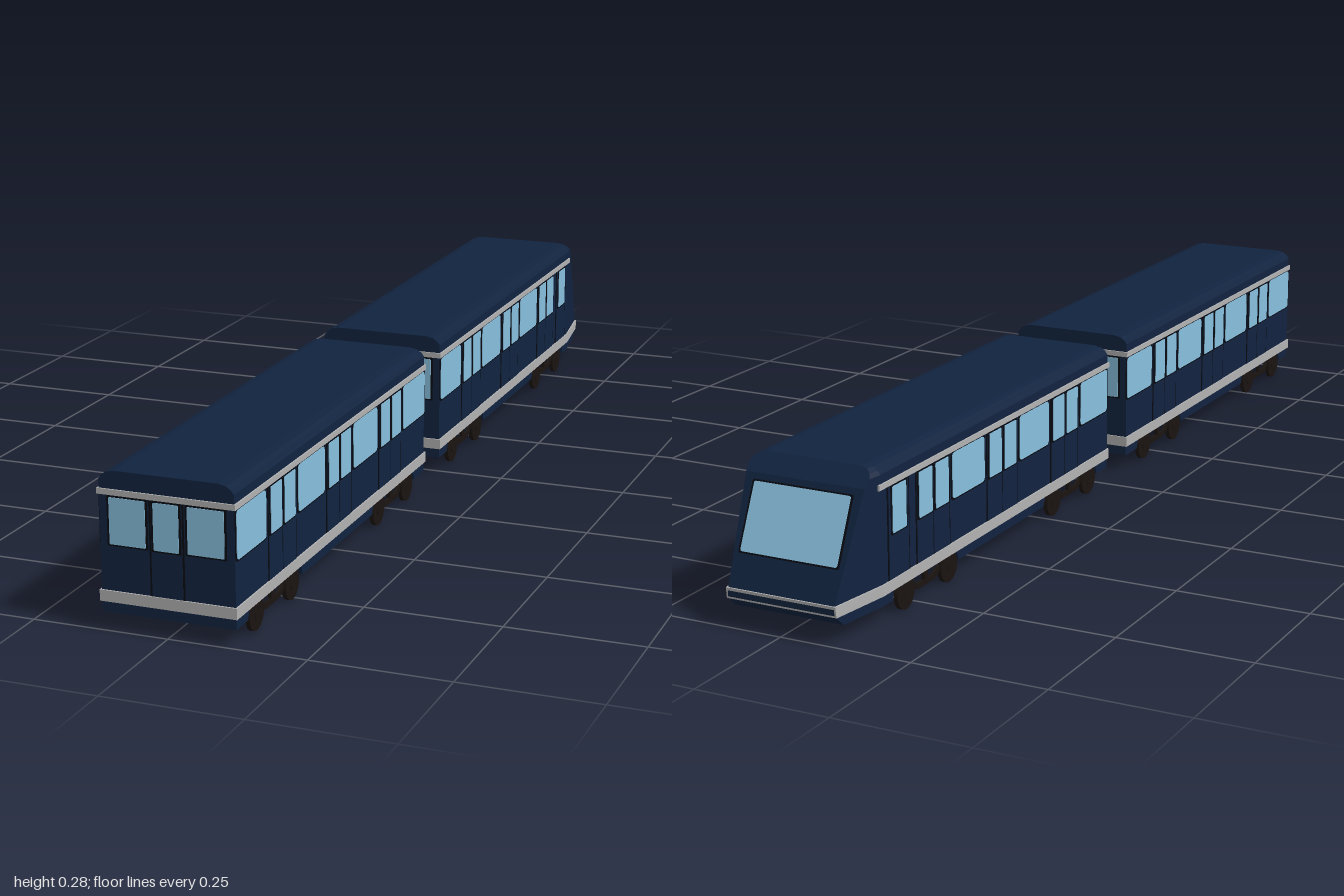
import * as THREE from 'three';
import { ConvexGeometry } from 'three/addons/geometries/ConvexGeometry.js';

const paint = (color) => new THREE.MeshStandardMaterial({ color });
const NAVY = paint(0x11233f), GLASS = paint(0x88bfde), STRIPE = paint(0xb2b2b2);
const TRIM = paint(0x070a12), IRON = paint(0x1a1410);
const HALF = 0.122; // half width of a car

function add(parent, name, geometry, material, x = 0, y = 0, z = 0) {
  const mesh = new THREE.Mesh(geometry, material);
  mesh.name = name;
  mesh.position.set(x, y, z);
  parent.add(mesh);
  return mesh;
}

// Sloping nose: z of the front surface at height y
const NOSE = [[0.03, -0.972], [0.055, -0.997], [0.065, -0.997], [0.25, -0.912], [0.28, -0.882]];
function noseZ(y) {
  for (let i = 1; i < NOSE.length; i++) {
    const [y0, z0] = NOSE[i - 1], [y1, z1] = NOSE[i];
    if (y <= y1) return z0 + (z1 - z0) * (y - y0) / (y1 - y0);
  }
  return NOSE[NOSE.length - 1][1];
}

// Solid spanned by a mirrored half section [x, y] from zFront to zBack, or to the nose if zBack is null
function hull(section, zFront, zBack, grow = 0) {
  const points = [];
  for (const [x0, y] of section) {
    for (const s of [-1, 1]) {
      const x = x0 + grow;
      points.push(new THREE.Vector3(s * x, y, zFront + grow));
      if (zBack === null) {
        const z = noseZ(y);
        points.push(new THREE.Vector3(s * x, y, -0.87));
        points.push(new THREE.Vector3(s * (x - (-0.87 - z) * 0.14), y, z - grow));
      } else points.push(new THREE.Vector3(s * x, y, zBack - grow));
    }
  }
  return new ConvexGeometry(points);
}

// Thin rounded plate facing +z, centred on its origin
function plate(w, h, r, depth) {
  const a = w / 2, b = h / 2, s = new THREE.Shape();
  s.moveTo(-a + r, -b);
  s.lineTo(a - r, -b).quadraticCurveTo(a, -b, a, -b + r);
  s.lineTo(a, b - r).quadraticCurveTo(a, b, a - r, b);
  s.lineTo(-a + r, b).quadraticCurveTo(-a, b, -a, b - r);
  s.lineTo(-a, -b + r).quadraticCurveTo(-a, -b, -a + r, -b);
  return new THREE.ExtrudeGeometry(s, { depth, bevelEnabled: false, curveSegments: 4 });
}

function windowPane(parent, name, u, y, w, h, r, lift = 0) {
  add(parent, name + 'Frame', plate(w + 0.008, h + 0.006, r, 0.001), TRIM, u, y, lift);
  add(parent, name + 'Glass', plate(w, h, r, 0.002), GLASS, u, y, lift);
}

// Leaves centred at positions us, on a dark backing
function door(parent, name, u, leafWidth, leaves) {
  const pitch = leafWidth + 0.003;
  add(parent, name + 'Gap', plate(pitch * leaves + 0.004, 0.168, 0.002, 0.0008), TRIM, u, 0.153);
  for (let i = 0; i < leaves; i++) {
    const c = u + (i - (leaves - 1) / 2) * pitch;
    add(parent, name + 'Leaf', plate(leafWidth, 0.165, 0.002, 0.0015), NAVY, c, 0.153);
    windowPane(parent, name + 'Window', c, 0.193, 0.046, 0.083, 0.003, 0.0015);
  }
}

// One side wall, drawn along u = distance back from the car's front end
function sideWall(car, side, zFront, largeCount, cabDoor) {
  const wall = new THREE.Group();
  wall.name = side > 0 ? 'leftWall' : 'rightWall';
  wall.position.set(side * HALF, 0, zFront);
  wall.rotation.y = side * Math.PI / 2;
  for (let i = 0; i < largeCount; i++) {
    windowPane(wall, 'sideWindow', side * (0.061 + i * 0.2565), 0.193, 0.119, 0.085, 0.009);
  }
  for (let i = 0; i < 3; i++) {
    door(wall, 'slidingDoor', side * (0.189 + i * 0.2565), 0.055, 2);
  }
  if (cabDoor) door(wall, 'cabDoor', side * 0.821, 0.066, 1);
  car.add(wall);
}

// Flat end with a centre door and two windows
function endWall(car, z, dir) {
  const end = new THREE.Group();
  end.name = dir > 0 ? 'frontEnd' : 'backEnd';
  end.position.z = z;
  if (dir < 0) end.rotation.y = Math.PI;
  for (const s of [-1, 1]) windowPane(end, 'endWindow', s * 0.071, 0.193, 0.066, 0.082, 0.002);
  door(end, 'endDoor', 0, 0.056, 1);
  car.add(end);
}

// Two wheel pairs joined by sagging side frames
function bogie(car, z) {
  const group = new THREE.Group();
  group.name = 'bogie';
  group.position.z = z;
  const wheel = new THREE.CylinderGeometry(0.029, 0.029, 0.008, 24).rotateZ(Math.PI / 2);
  const hub = new THREE.CylinderGeometry(0.01, 0.01, 0.011, 12).rotateZ(Math.PI / 2);
  const s = new THREE.Shape();
  s.moveTo(-0.076, 0.04);
  s.lineTo(-0.042, 0.038).lineTo(-0.028, 0.03).lineTo(0.028, 0.03).lineTo(0.042, 0.038);
  s.lineTo(0.076, 0.04).lineTo(0.076, 0.03).lineTo(0.045, 0.028).lineTo(0.03, 0.02);
  s.lineTo(-0.03, 0.02).lineTo(-0.045, 0.028).lineTo(-0.076, 0.03);
  const frame = new THREE.ExtrudeGeometry(s, { depth: 0.006, bevelEnabled: false });
  frame.translate(0, 0, -0.003).rotateY(Math.PI / 2);
  for (const side of [-1, 1]) {
    add(group, 'sideFrame', frame, IRON, side * 0.115);
    add(group, 'framePost', new THREE.BoxGeometry(0.006, 0.028, 0.012), IRON, side * 0.115, 0.04, 0);
    for (const e of [-1, 1]) {
      add(group, 'wheel', wheel, IRON, side * 0.118, 0.029, e * 0.076);
      add(group, 'wheelHub', hub, IRON, side * 0.118, 0.029, e * 0.076);
    }
  }
  car.add(group);
}

// A piece of skirt under the floor, with ends sloping up to the wheel cutouts
function skirt(car, z0, z1, slope0, slope1) {
  const points = [];
  for (const x of [-HALF, HALF]) {
    points.push(new THREE.Vector3(x, 0.051, z0), new THREE.Vector3(x, 0.051, z1),
      new THREE.Vector3(x, 0.031, z0 - slope0), new THREE.Vector3(x, 0.031, z1 + slope1));
  }
  add(car, 'skirt', new ConvexGeometry(points), NAVY);
}

function buildCar(name, zFront, zBack) {
  const car = new THREE.Group();
  car.name = name;
  const lead = zBack === null;
  const body = [[HALF, 0.05], [HALF, 0.055], [HALF, 0.065], [HALF, 0.25], [HALF, 0.264],
    [0.117, 0.271], [0.108, 0.277], [0.094, 0.28]];
  add(car, 'body', hull(body, zFront, zBack), NAVY);

  // Stripes wrapped round the body
  const band = (y0, y1) => [[HALF, y0], [HALF, y1]];
  add(car, 'lowerStripe', hull(band(0.05, 0.07), zFront, zBack, 0.003), STRIPE);
  add(car, 'upperStripe', hull(band(0.238, 0.248), zFront, lead ? -0.875 : zBack, 0.003), STRIPE);

  for (const side of [-1, 1]) sideWall(car, side, zFront - 0.003, lead ? 3 : 4, lead);
  endWall(car, zFront, 1);
  if (!lead) endWall(car, zBack, -1);

  // Running gear and the skirts between
  bogie(car, zFront - 0.159);
  bogie(car, zFront - 0.725);
  skirt(car, zFront, zFront - 0.055, 0, 0.008);
  skirt(car, zFront - 0.272, zFront - 0.622, 0.008, 0.008);
  if (lead) {
    const front = [[HALF, 0.031], [HALF, 0.051]];
    add(car, 'noseSkirt', hull(front, -0.836, null), NAVY);
  } else skirt(car, zFront - 0.832, zBack, 0.008, 0);
  return car;
}

export function createModel() {
  const train = new THREE.Group();
  train.name = 'train';
  train.add(buildCar('rearCar', 0.994, 0.1));
  const lead = buildCar('leadCar', 0.01, null);
  train.add(lead);

  // Windscreen lying on the sloped nose
  const screen = new THREE.Group();
  screen.name = 'windscreen';
  windowPane(screen, 'windscreen', 0, 0, 0.19, 0.121, 0.004);
  screen.position.set(0, 0.182, noseZ(0.182));
  screen.lookAt(0, 0.182 + 0.46, noseZ(0.182) - 1);
  lead.add(screen);

  // Coupling plate between the cars
  add(train, 'coupling', new THREE.BoxGeometry(0.09, 0.007, 0.13), IRON, 0, 0.041, 0.055);
  return train;
}
